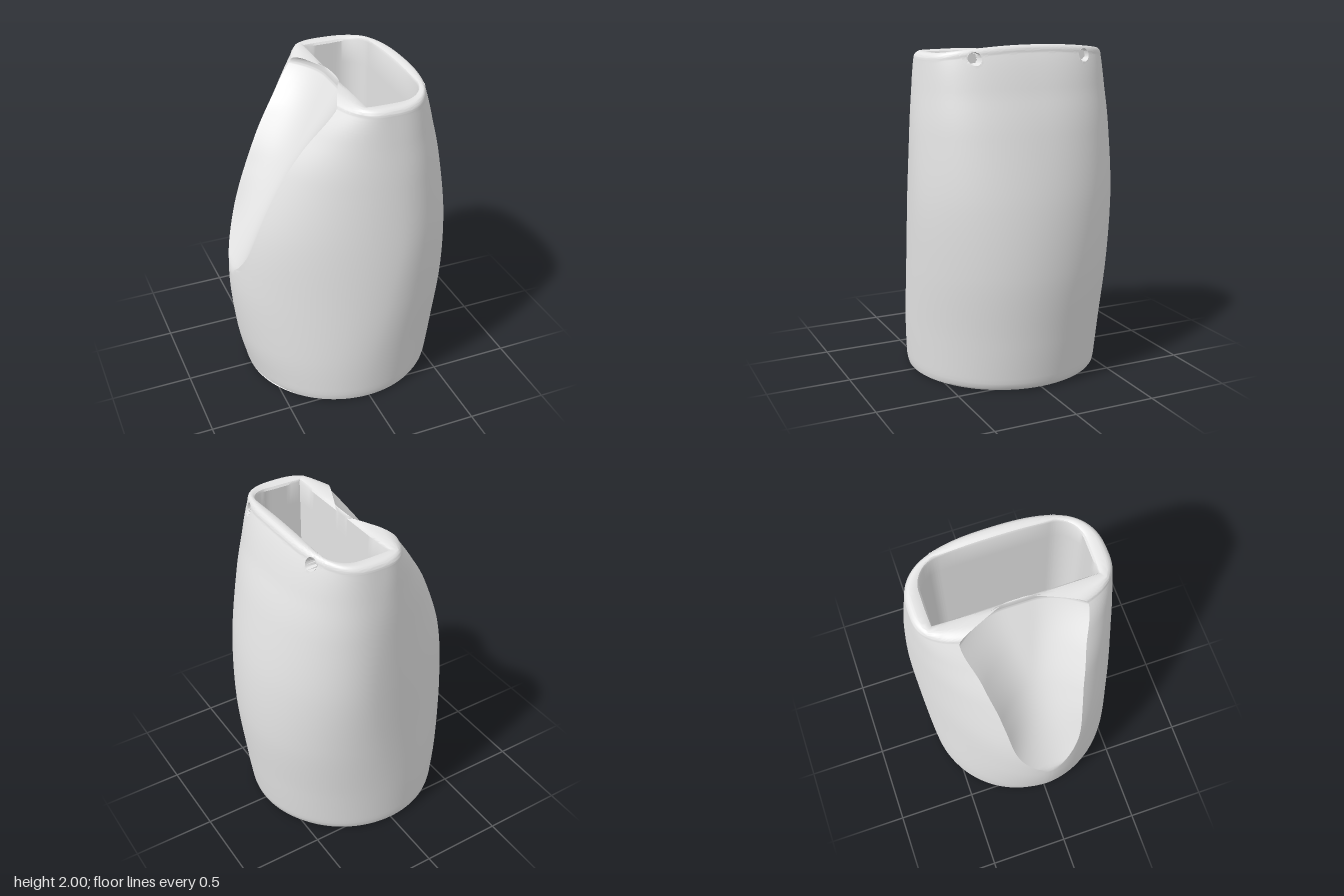
import * as THREE from 'three';
import { toCreasedNormals } from 'three/addons/utils/BufferGeometryUtils.js';

// Outer body stations: height, left edge, right edge, x of the widest line, half depth,
// roundness exponents of the +x and -x halves
const STATIONS = [
  [0.02, -0.59, 0.60, 0.0, 0.59, 2, 2],
  [0.06, -0.6, 0.61, 0.0, 0.595, 2, 1.98],
  [0.3, -0.65, 0.64, 0.03, 0.607, 2, 1.88],
  [0.7, -0.685, 0.675, 0.12, 0.62, 2, 1.77],
  [1.1, -0.645, 0.658, 0.18, 0.625, 2, 1.77],
  [1.5, -0.49, 0.585, 0.16, 0.61, 2.15, 1.85],
  [1.75, -0.315, 0.51, 0.13, 0.588, 2.4, 2.15],
  [1.915, -0.165, 0.438, 0.11, 0.57, 2.8, 2.7],
];
const FOOT_Y = 0.02, SHOULDER_Y = 1.75, TOP_Y = 1.915;
const LEDGE_Y = 0.065, CEILING_Y = 0.98, FLOOR_Y = 1.0;
const BORE_Z = 0.47;
const HOLE = { y: 1.93, z: 0.345, r: 0.038, x: 0.368 };
// Reference angles: start of the channel side, and the vertex kept on the channel's edge
const SIDE_T = 0.625 * Math.PI, EDGE_T = 0.875 * Math.PI;

const columns = [1, 2, 3, 4, 5, 6].map(
  (c) => new THREE.SplineCurve(STATIONS.map((s) => new THREE.Vector2(s[0], s[c])))
);
const { smoothstep, lerp } = THREE.MathUtils;

// Finds where a test turns from true to false between lo and hi
function bisect(lo, hi, test) {
  for (let i = 0; i < 32; i++) {
    const mid = (lo + hi) / 2;
    if (test(mid)) lo = mid; else hi = mid;
  }
  return lo;
}

// Outer cross-section at a height
function section(y) {
  const h = Math.min(y, TOP_Y);
  const u = bisect(0, 1, (v) => columns[0].getPoint(v).x < h);
  const [xl, xr, cx, b, nr, nl] = columns.map((c) => c.getPoint(u).y);
  const s = { y: h, xl, xr, cx, b, nr, nl };
  s.edge = bisect(SIDE_T, Math.PI - 0.06, (t) => {
    const p = uncut(s, t);
    return p.x > channel(h, p.z);
  });
  return s;
}

function uncut(s, t) {
  const c = Math.cos(t), k = Math.sin(t);
  const a = c > 0 ? s.xr - s.cx : s.cx - s.xl;
  const n = c > 0 ? s.nr : s.nl;
  const r = Math.pow(Math.pow(Math.abs(c / a), n) + Math.pow(Math.abs(k / s.b), n), -1 / n);
  return new THREE.Vector3(s.cx + r * c, s.y, r * k);
}

// Slanted hollow channel running down the -x side, widening upwards
function channel(y, z) {
  const flat = 0.08 * smoothstep(y, 1.4, 1.9);
  const bend = lerp(1.4, 2.3, smoothstep(y, 0.9, 1.3)) - 0.8 * smoothstep(y, 1.65, 1.93);
  return Math.min(-0.015, (y - 1.93) * 0.593) - bend * Math.max(0, Math.abs(z) - flat) ** 2;
}

function outer(s, t) {
  const p = uncut(s, t);
  if (p.x < s.cx) p.x = Math.max(p.x, channel(s.y, p.z));
  return p;
}

// Slides angles so that one column of vertices follows the channel's edge
function warp(s, t) {
  const a = Math.abs(t);
  if (a <= SIDE_T) return t;
  const w = a < EDGE_T
    ? lerp(SIDE_T, s.edge, (a - SIDE_T) / (EDGE_T - SIDE_T))
    : lerp(s.edge, Math.PI, (a - EDGE_T) / (Math.PI - EDGE_T));
  return Math.sign(t) * w;
}

// Inner wall: flat sides, rounded towards +x; the -x wall leans in until it is straight at x = 0
function bore(s, t, y) {
  const xr = s.xr - lerp(0.07, 0.078, Math.min(1, y / TOP_Y));
  const xt = Math.min(0.21, -0.06 + 0.56 * (y - LEDGE_Y));
  const cz = lerp(BORE_Z, 0.15, smoothstep(y, 0.3, 1.8));
  const lean = Math.min(1, (y - LEDGE_Y) / (FLOOR_Y - LEDGE_Y));
  const inside = (x, z) => {
    if (z > BORE_Z || x > xr) return false;
    if (x < lerp(-Math.sqrt(0.545 ** 2 - z * z), 0, lean)) return false;
    const dx = (x - xt) / (xr - xt), dz = (z - BORE_Z + cz) / cz;
    return dx < 0 || dz < 0 || dx * dx + dz * dz < 1;
  };
  const c = Math.cos(t), k = Math.sin(t);
  const r = bisect(0, 1, (v) => inside(0.15 + v * c, Math.abs(v * k)));
  return new THREE.Vector3(0.15 + r * c, y, r * k);
}

// The rim swells upward on the +x side
function lift(p) {
  const rise = 0.045 * smoothstep(p.x, 0.16, 0.4) * Math.max(0, 1 - (p.z / 0.57) ** 2);
  p.y += rise * smoothstep(p.y, 1.7, 1.91);
  return p;
}

// Small side holes pressed into the wall, with a ring of vertices snapped to each edge
function pierce(p) {
  if (p.x <= HOLE.x) return p;
  const cz = p.z < 0 ? -HOLE.z : HOLE.z;
  const dy = p.y - HOLE.y, dz = p.z - cz;
  const d = Math.hypot(dy, dz) / HOLE.r;
  if (d < 0.88) p.x = HOLE.x;
  else if (d < 1.12) {
    p.y = HOLE.y + dy / d;
    p.z = cz + dz / d;
  }
  return p;
}

// Angles: even spacing, finer around the holes, exact at the mouth corners
function makeAngles() {
  const list = [];
  for (let i = 0; i < 160; i++) list.push((i / 160) * Math.PI * 2 - Math.PI);
  for (const side of [-1, 1]) {
    list.push(side * Math.atan2(BORE_Z, -0.15));
    for (let a = 0.68; a < 1.06; a += 0.0121) list.push(side * a);
  }
  return list.sort((a, b) => a - b);
}

function shellGeometry() {
  const rings = [];
  const disc = (r, y) => rings.push((t) => new THREE.Vector3(r * Math.cos(t), y, r * Math.sin(t)));
  const centre = (y) => rings.push(() => new THREE.Vector3(0.15, y, 0));
  const boreRing = (y) => {
    const s = section(y);
    rings.push((t) => bore(s, t, y));
  };

  // Lower cavity, shallow round recess and rounded foot
  centre(CEILING_Y);
  [CEILING_Y, 0.85, 0.7, 0.55, 0.45, 0.35, 0.25, 0.15, LEDGE_Y].forEach(boreRing);
  disc(0.545, LEDGE_Y);
  disc(0.545, 0.015);
  disc(0.553, 0.004);
  disc(0.565, 0);
  disc(0.575, 0);
  disc(0.586, 0.006);

  // Outer wall
  const wall = (y) => {
    const s = section(y);
    rings.push((t) => pierce(lift(outer(s, warp(s, t)))));
  };
  for (let i = 0; i < 60; i++) wall(lerp(FOOT_Y, SHOULDER_Y, i / 60));
  for (let i = 0; i <= 26; i++) wall(lerp(SHOULDER_Y, TOP_Y, i / 26));

  // Rounded rim rolling in to the mouth
  const top = section(TOP_Y);
  const rim = (f, y) => rings.push((t) => {
    const p = outer(top, warp(top, t)).lerp(bore(top, t, y), f);
    p.y = y;
    return pierce(lift(p));
  });
  for (let j = 1; j <= 12; j++) {
    const a = (j / 12) * Math.PI / 2;
    rim(0.42 * (1 - Math.cos(a)), TOP_Y + 0.04 * Math.sin(a));
  }
  rim(0.7, 1.954);
  rim(0.9, 1.948);
  rim(1, 1.935);

  // Upper shaft and its floor: straight below the mouth
  for (const y of [1.8, 1.6, 1.4, 1.2, FLOOR_Y]) rings.push((t) => bore(top, t, TOP_Y).setY(y));
  centre(FLOOR_Y);

  const angles = makeAngles();
  const n = angles.length;
  const pos = [], index = [];
  rings.forEach((ring, i) => {
    angles.forEach((t, j) => {
      pos.push(...ring(t).toArray());
      if (i === rings.length - 1) return;
      const a = i * n + j, b = i * n + ((j + 1) % n);
      index.push(a, a + n, b, b, a + n, b + n);
    });
  });
  const g = new THREE.BufferGeometry();
  g.setAttribute('position', new THREE.Float32BufferAttribute(pos, 3));
  g.setIndex(index);
  return toCreasedNormals(g, 0.6);
}

export function createModel() {
  const group = new THREE.Group();
  group.name = 'hollowHolder';
  const grey = new THREE.MeshStandardMaterial({ color: 0xe4e4e4 });
  grey.name = 'light grey';
  const shell = new THREE.Mesh(shellGeometry(), grey);
  shell.name = 'shell';
  group.add(shell);
  return group;
}
